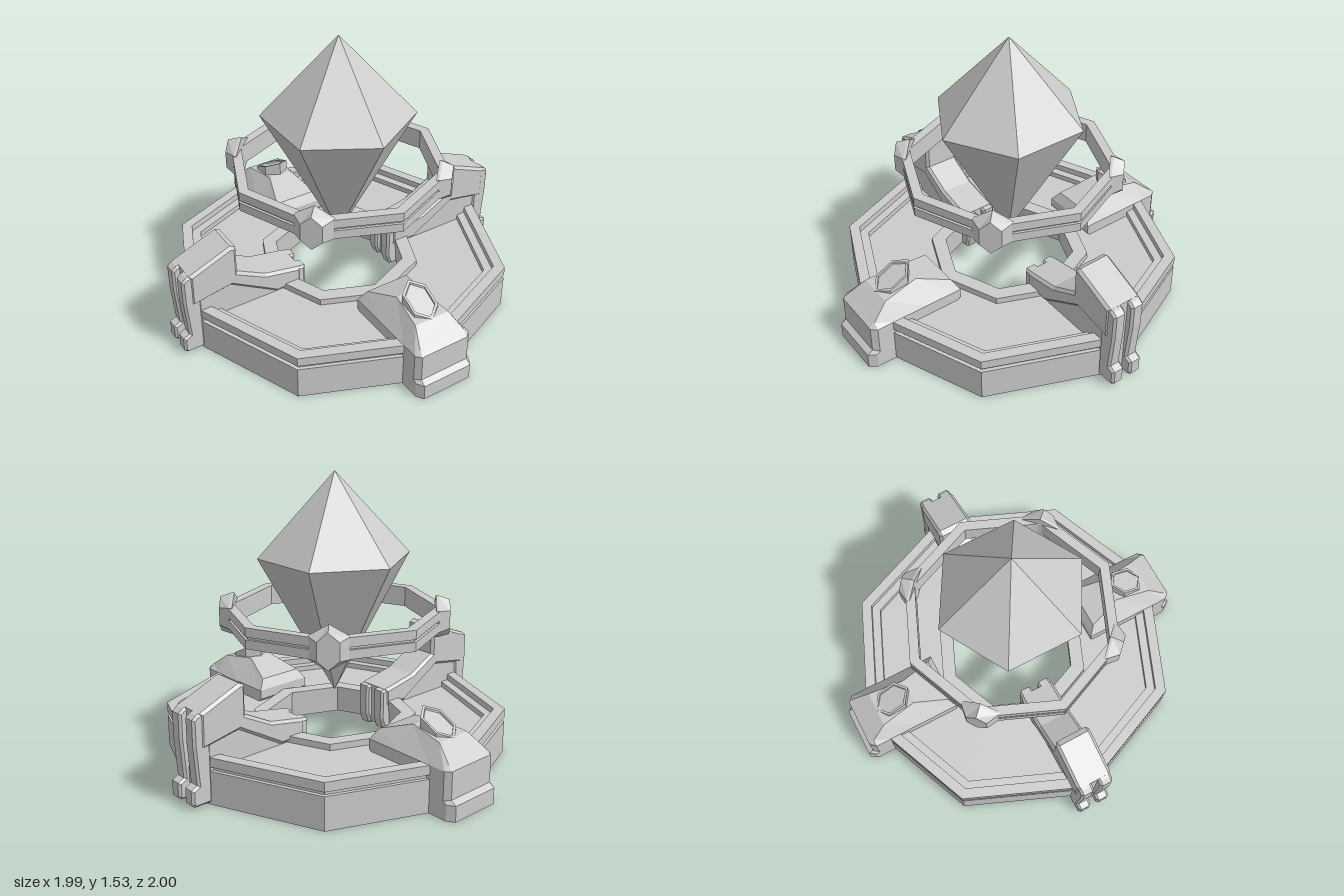
import * as THREE from 'three';

const mat = new THREE.MeshStandardMaterial({ color: 0xcccccc, flatShading: true });

function add(parent, name, geometry) {
  const mesh = new THREE.Mesh(geometry, mat);
  mesh.name = name;
  parent.add(mesh);
  return mesh;
}

const points = (list) => list.map(([x, y]) => new THREE.Vector2(x, y));

// Octagonal ring with a corner on each axis
const octagon = (profile) => new THREE.LatheGeometry(points([...profile, profile[0]]), 8);

const hexPoints = (w, h) => [[0, h], [-w, h / 2], [-w, -h / 2], [0, -h], [w, -h / 2], [w, h / 2]];

// Joins equal-length cross-sections (counter-clockwise seen from the last one) and caps both ends
function loft(sections) {
  const n = sections[0].length, pos = sections.flat(2), index = [];
  for (let s = 0; s < sections.length - 1; s++) {
    for (let i = 0; i < n; i++) {
      const a = s * n + i, b = s * n + (i + 1) % n;
      index.push(a, b, b + n, a, b + n, a + n);
    }
  }
  const last = (sections.length - 1) * n;
  for (let i = 1; i < n - 1; i++) {
    index.push(0, i + 1, i, last, last + i, last + i + 1);
  }
  const g = new THREE.BufferGeometry();
  g.setAttribute('position', new THREE.Float32BufferAttribute(pos, 3));
  g.setIndex(index);
  g.computeVertexNormals();
  return g;
}

// Slab of a given outline between z0 and z1, with chamfered edges
function slab(outline, z0, z1, bevel) {
  const g = new THREE.ExtrudeGeometry(new THREE.Shape(points(outline)), {
    depth: z1 - z0 - 2 * bevel, bevelSize: bevel, bevelThickness: bevel,
    bevelOffset: -bevel, bevelSegments: 1,
  });
  return g.translate(0, 0, z0 + bevel);
}

// Front pedestal block with overhanging inner end, foot and tilted hexagonal plaque
function makeBlock() {
  const block = new THREE.Group();
  // z, half width, half width of ridge, height of ridge, height of underside
  const rows = [
    [0.44, 0.165, 0.16, 0.252, 0.2], [0.47, 0.165, 0.125, 0.305, 0.17],
    [0.65, 0.165, 0.07, 0.37, 0], [0.85, 0.165, 0.1, 0.345, 0],
    [0.94, 0.165, 0.135, 0.275, 0], [0.97, 0.14, 0.13, 0.252, 0],
  ];
  add(block, 'blockBody', loft(rows.map(([z, w, t, h, b]) => [
    [-w, b, z], [w, b, z], [w, 0.25, z], [t, h, z], [-t, h, z], [-w, 0.25, z],
  ])));

  const foot = (y, inset) => [
    [-0.165, 0.9], [-0.165, 0.96 - inset], [-0.14, 1 - inset],
    [0.14, 1 - inset], [0.165, 0.96 - inset], [0.165, 0.9],
  ].map(([x, z]) => [x, y, z]);
  add(block, 'blockFoot', loft([foot(0, 0), foot(0.085, 0), foot(0.105, 0.03)]));

  // Upright hexagonal prism cut by a sloping plane, with a shallow recess
  const slope = (w, h, drop) => hexPoints(w, h).map(([x, y]) => [x, 0.395 + 0.5 * y - drop, 0.75 - y]);
  const plaqueBase = hexPoints(0.072, 0.105).map(([x, y]) => [x, 0.28, 0.75 - y]);
  add(block, 'plaque', loft([
    plaqueBase, slope(0.072, 0.105, 0), slope(0.06, 0.09, 0), slope(0.058, 0.088, 0.01),
  ]));
  return block;
}

// Tall side fin on +x: body, wider upper part, and paired ridges down both ends
function makeFin() {
  const fin = new THREE.Group();
  const top = [
    [0.935, 0.49], [0.7, 0.585], [0.67, 0.57], [0.67, 0.415], [0.51, 0.33], [0.3, 0.29],
  ];
  add(fin, 'finBody', slab([
    [0.3, 0.07], [0.56, 0.03], [0.935, 0.015], ...top,
  ], -0.085, 0.085, 0.012));
  add(fin, 'finUpper', slab([
    [0.3, 0.19], [0.45, 0.19], [0.55, 0.25], [0.71, 0.345], [0.935, 0.305], ...top,
  ], -0.1, 0.1, 0.015));

  const outerRidge = [
    [0.88, 0.015], [0.98, 0.015], [0.995, 0.03], [0.995, 0.108], [0.96, 0.125],
    [0.975, 0.33], [0.975, 0.465], [0.95, 0.485], [0.88, 0.505],
  ];
  const innerRidge = [
    [0.27, 0.12], [0.29, 0.06], [0.4, 0.045], [0.4, 0.3], [0.27, 0.285],
  ];
  for (const z of [0.02, -0.094]) {
    add(fin, 'finOuterRidge', slab(outerRidge, z, z + 0.074, 0.012));
    add(fin, 'finInnerRidge', slab(innerRidge, z, z + 0.074, 0.012));
  }
  return fin;
}

export function createModel() {
  const model = new THREE.Group();
  model.name = 'crystalPedestal';

  // Hollow base: grooved wall, stepped rim, sunken floor and inner lip
  add(model, 'base', octagon([
    [0.92, 0], [0.92, 0.178], [0.9, 0.178], [0.9, 0.2], [0.92, 0.2], [0.92, 0.25],
    [0.86, 0.25], [0.86, 0.215], [0.81, 0.215], [0.81, 0.185], [0.44, 0.185], [0.44, 0.22],
    [0.36, 0.22], [0.37, 0.07], [0.42, 0.07], [0.44, 0.12], [0.89, 0.12], [0.905, 0],
  ]));

  // Blocks at front and back, fins at left and right
  for (let i = 0; i < 2; i++) {
    const block = makeBlock();
    block.name = i ? 'backBlock' : 'frontBlock';
    block.rotation.y = i * Math.PI;
    const fin = makeFin();
    fin.name = i ? 'rightFin' : 'leftFin';
    fin.rotation.y = i * Math.PI;
    model.add(block, fin);
  }

  // Floating ring with a groove around its outside
  add(model, 'floatingRing', octagon([
    [0.59, 0.71], [0.59, 0.758], [0.575, 0.758], [0.575, 0.772], [0.59, 0.772],
    [0.59, 0.82], [0.535, 0.82], [0.535, 0.71],
  ]));

  // Hexagonal studs on the diagonal corners of the ring
  const hexAt = (w, h, z) => hexPoints(w, h).map(([x, y]) => [x, y, z]);
  const studGeo = loft([
    hexAt(0.1, 0.115, 0.53), hexAt(0.1, 0.115, 0.545), hexAt(0.055, 0.095, 0.605),
  ]);
  for (let i = 0; i < 4; i++) {
    const stud = add(model, 'ringStud', studGeo);
    stud.position.y = 0.765;
    stud.rotation.y = Math.PI / 4 + i * Math.PI / 2;
  }

  // Six-sided crystal
  add(model, 'crystal', new THREE.LatheGeometry(points([[0, 0.345], [0.405, 1.09], [0, 1.53]]), 6));

  return model;
}
